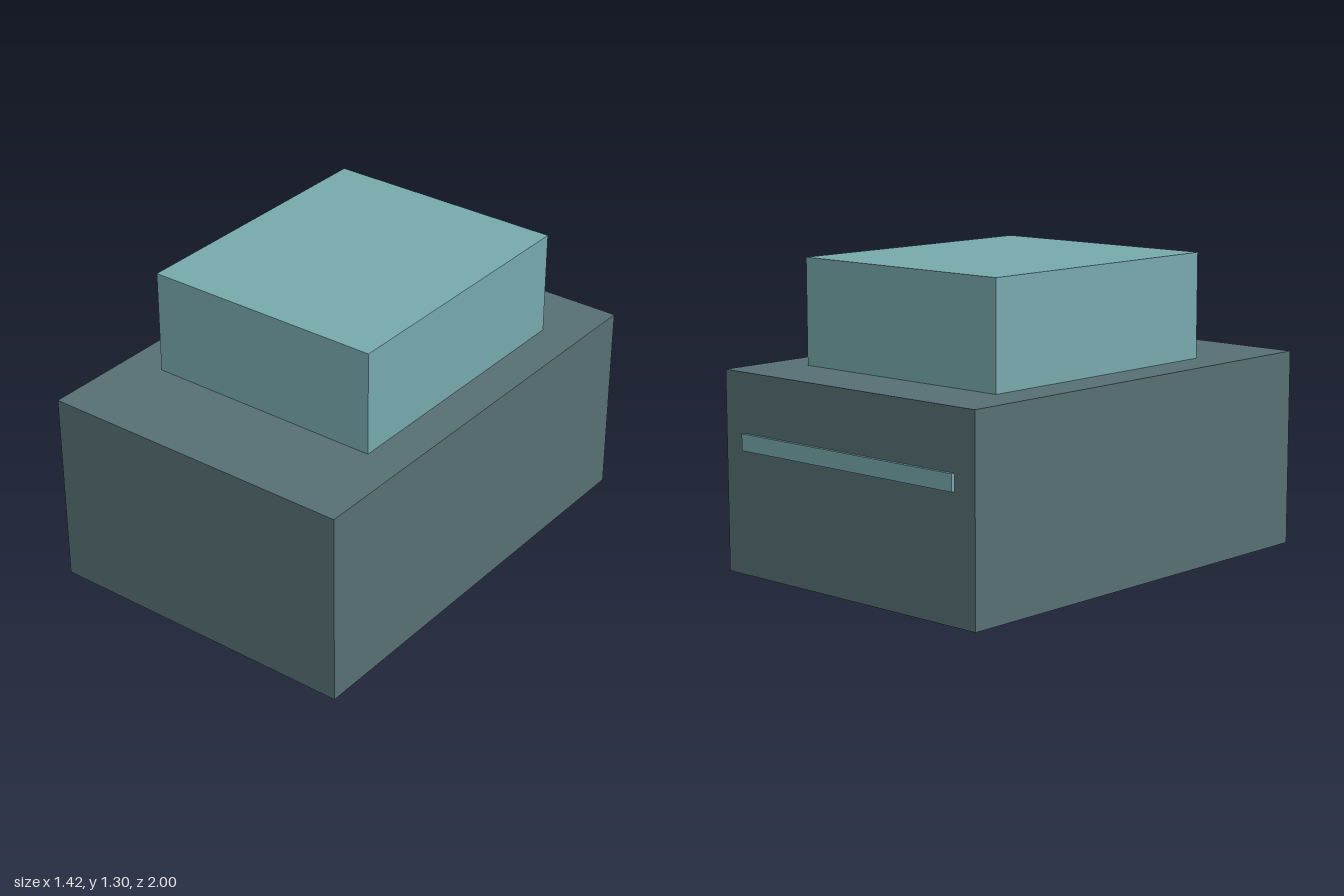
import * as THREE from 'three';

const slate = new THREE.MeshStandardMaterial({ name: 'dark slate', color: 0x566f73 });
const teal = new THREE.MeshStandardMaterial({ name: 'pale teal', color: 0x77a9ad });

// Box given by its lower and upper corners
function block(name, material, [x0, y0, z0], [x1, y1, z1]) {
  const mesh = new THREE.Mesh(new THREE.BoxGeometry(x1 - x0, y1 - y0, z1 - z0), material);
  mesh.name = name;
  mesh.position.set((x0 + x1) / 2, (y0 + y1) / 2, (z0 + z1) / 2);
  return mesh;
}

export function createModel() {
  const model = new THREE.Group();
  model.name = 'model';
  model.add(
    // Main body
    block('body', slate, [-0.708, 0, -0.986], [0.708, 0.853, 1]),
    // Smaller block on the roof, set slightly to the rear
    block('upperBlock', teal, [-0.536, 0.853, -0.687], [0.536, 1.305, 0.56]),
    // Thin horizontal strip on the back face
    block('rearStrip', teal, [-0.6, 0.527, -1], [0.6, 0.598, -0.986]),
  );
  return model;
}
